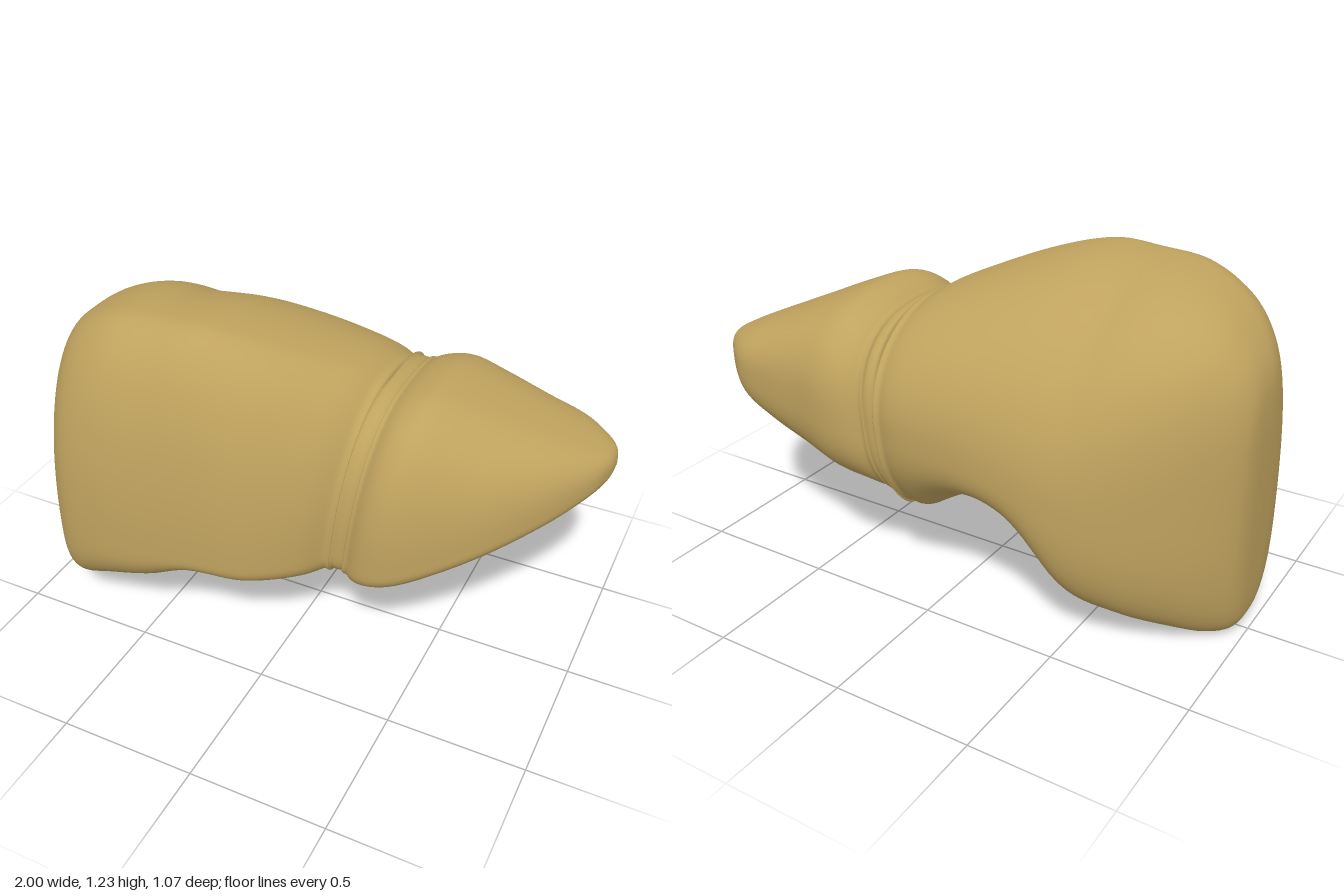
import * as THREE from 'three';

const SIDES = 96;

const bump = (x, z, cx, cz, rx, rz) => Math.exp(-(((x - cx) / rx) ** 2) - ((z - cz) / rz) ** 2);

// Section rows: x, then z,y of the top, front, bottom and back extremes.
// round: corner squareness of the upper front, upper back and lower quadrants
function loft(name, rows, round, steps, material) {
  const rail = (k) => new THREE.CatmullRomCurve3(
    rows.map((r) => new THREE.Vector3(r[0], r[k + 1], r[k])), false, 'catmullrom', 0.5);
  const rails = [1, 3, 5, 7].map(rail);
  const pos = [], index = [];
  for (let i = 0; i <= steps; i++) {
    const [top, front, bottom, back] = rails.map((c) => c.getPoint(i / steps));
    // the rear upper edge gets squarer towards the broad outer end
    const upperBack = round[1] + 2.5 * Math.max(0, -0.5 - top.x);
    for (let j = 0; j < SIDES; j++) {
      const a = (j / SIDES) * Math.PI * 2;
      const s = Math.sin(a), c = Math.cos(a);
      const side = s >= 0 ? front : back;
      const cap = c >= 0 ? top : bottom;
      const power = 2 / (c < 0 ? round[2] : s >= 0 ? round[0] : upperBack);
      const z = cap.z + (side.z - cap.z) * Math.abs(s) ** power;
      let y = side.y + (cap.y - side.y) * Math.abs(c) ** power;
      let x = top.x;
      // underside: fissure, hollows of both lobes, small rear lobe
      const under = Math.max(0, -c);
      y += under * (0.1 * bump(x, z, -0.2, -0.4, 0.16, 0.15)
        + 0.05 * bump(x, z, -0.18, -0.1, 0.22, 0.2)
        + 0.06 * bump(x, z, 0.58, -0.12, 0.22, 0.18)
        - 0.07 * bump(x, z, 0.14, -0.37, 0.12, 0.12));
      // slant of the seam between the lobes
      x += 0.11 * (y - 0.7) * Math.exp(-(((x - 0.24) / 0.2) ** 2));
      pos.push(x, y, z);
      if (i < steps) {
        const p = i * SIDES + j, q = i * SIDES + (j + 1) % SIDES;
        index.push(p, q, p + SIDES, q, q + SIDES, p + SIDES);
      }
    }
  }
  const geo = new THREE.BufferGeometry();
  geo.setAttribute('position', new THREE.Float32BufferAttribute(pos, 3));
  geo.setIndex(index);
  geo.computeVertexNormals();
  const mesh = new THREE.Mesh(geo, material);
  mesh.name = name;
  return mesh;
}

// A section closed to a point
const tip = (x, z, y) => [x, z, y, z, y, z, y, z, y];

export function createModel() {
  const group = new THREE.Group();
  group.name = 'liver';
  const tan = new THREE.MeshStandardMaterial({ color: 0xbfa25e });
  tan.name = 'tan';

  const rightLobe = [
    tip(-1.0, 0, 0.48),
    [-0.995, 0, 0.8, 0.13, 0.4, 0, 0.13, -0.1, 0.53],
    [-0.97, 0.05, 0.96, 0.25, 0.38, 0, 0.03, -0.17, 0.55],
    [-0.9, 0.1, 1.07, 0.4, 0.37, 0.0, 0.0, -0.26, 0.55],
    [-0.8, 0.15, 1.15, 0.5, 0.37, -0.07, 0.035, -0.35, 0.55],
    [-0.65, 0.2, 1.21, 0.53, 0.4, -0.18, 0.1, -0.445, 0.54],
    [-0.48, 0.21, 1.225, 0.525, 0.42, -0.2, 0.17, -0.505, 0.56],
    [-0.3, 0.21, 1.228, 0.5, 0.43, 0.1, 0.31, -0.525, 0.62],
    [-0.1, 0.14, 1.175, 0.46, 0.43, 0.2, 0.32, -0.53, 0.67],
    [0.08, 0.02, 1.095, 0.37, 0.44, 0.08, 0.325, -0.525, 0.68],
    [0.17, -0.05, 1.04, 0.3, 0.46, 0.0, 0.335, -0.505, 0.67],
    [0.21, -0.08, 0.99, 0.26, 0.48, -0.06, 0.36, -0.47, 0.66],
    tip(0.215, -0.1, 0.66),
  ];

  const ligament = [
    tip(0.19, -0.1, 0.66),
    [0.195, -0.08, 0.99, 0.26, 0.48, -0.08, 0.36, -0.47, 0.66],
    [0.21, -0.08, 1.015, 0.295, 0.48, -0.08, 0.34, -0.49, 0.66],
    [0.25, -0.08, 1.005, 0.29, 0.48, -0.08, 0.345, -0.49, 0.66],
    [0.265, -0.08, 0.97, 0.25, 0.48, -0.08, 0.38, -0.45, 0.66],
    tip(0.27, -0.1, 0.66),
  ];

  const leftLobe = [
    tip(0.235, -0.1, 0.66),
    [0.24, -0.08, 0.97, 0.25, 0.48, -0.06, 0.37, -0.46, 0.66],
    [0.27, -0.08, 1.01, 0.3, 0.46, -0.04, 0.335, -0.5, 0.66],
    [0.33, -0.06, 1.035, 0.33, 0.46, -0.02, 0.34, -0.53, 0.67],
    [0.42, -0.06, 1.042, 0.32, 0.48, -0.08, 0.365, -0.535, 0.68],
    [0.55, -0.1, 1.0, 0.25, 0.53, -0.18, 0.425, -0.51, 0.7],
    [0.7, -0.15, 0.935, 0.15, 0.6, -0.28, 0.5, -0.49, 0.71],
    [0.84, -0.2, 0.875, 0.02, 0.67, -0.33, 0.58, -0.465, 0.73],
    [0.94, -0.25, 0.83, -0.11, 0.72, -0.3, 0.66, -0.39, 0.75],
    [0.985, -0.27, 0.8, -0.2, 0.75, -0.27, 0.71, -0.33, 0.76],
    tip(1.0, -0.27, 0.76),
  ];

  group.add(
    loft('rightLobe', rightLobe, [2.2, 2.1, 2.8], 84, tan),
    loft('ligament', ligament, [2.5, 2.4, 2.9], 25, tan),
    loft('leftLobe', leftLobe, [2.5, 2.6, 2.8], 70, tan),
  );
  return group;
}
